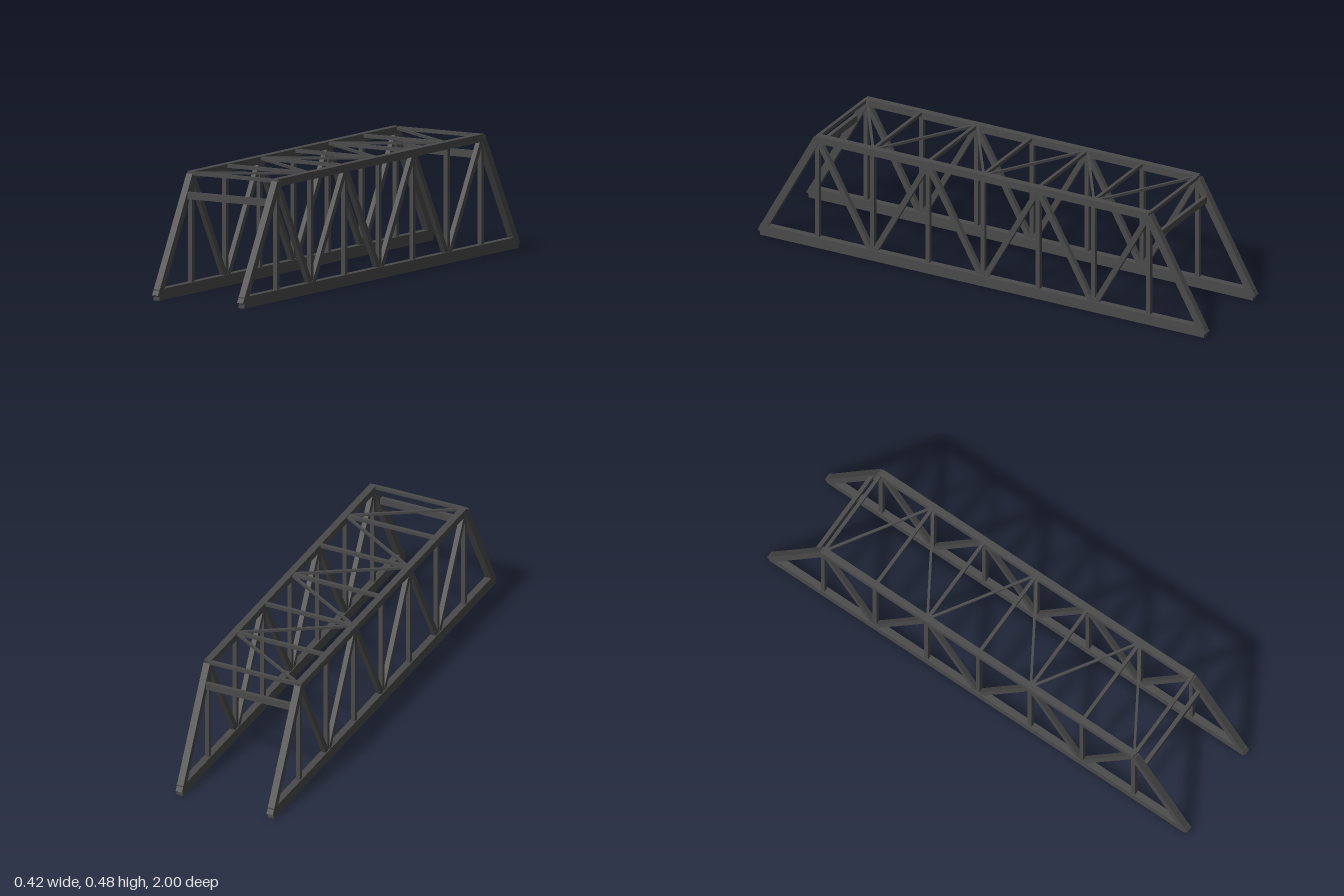
import * as THREE from 'three';

export function createModel() {
  const model = new THREE.Group();
  model.name = 'trussBridge';
  const steel = new THREE.MeshStandardMaterial({ name: 'darkSteel', color: 0x4a4a4a });

  const bay = 0.246;      // panel length
  const sideX = 0.197;    // truss centre line
  const low = 0.022;      // bottom chord axis
  const high = 0.465;     // top chord axis

  // Square-cut bar between two points: width is sideways, depth is across the bar,
  // ext lengthens both ends.
  function bar(parent, name, a, b, width, depth, ext = 0) {
    const from = new THREE.Vector3(...a), to = new THREE.Vector3(...b);
    const mesh = new THREE.Mesh(
      new THREE.BoxGeometry(width, depth, from.distanceTo(to) + 2 * ext), steel);
    mesh.position.copy(from).add(to).multiplyScalar(0.5);
    mesh.lookAt(to);
    mesh.name = name;
    parent.add(mesh);
  }

  // Two mirrored side trusses
  for (const s of [1, -1]) {
    const truss = new THREE.Group();
    truss.name = s > 0 ? 'leftTruss' : 'rightTruss';
    model.add(truss);
    const x = s * sideX;

    bar(truss, 'bottomChord', [x, low, -0.99], [x, low, 0.99], 0.028, 0.044);
    bar(truss, 'topChord', [x, high, -0.742], [x, high, 0.742], 0.028, 0.03);

    for (const e of [1, -1]) {
      bar(truss, 'endPost', [x, 0.0135, e * 0.987], [x, high, e * 3 * bay], 0.028, 0.03);
    }
    for (let i = -3; i <= 3; i++) {
      const post = new THREE.Mesh(new THREE.BoxGeometry(0.018, high - low, 0.018), steel);
      post.position.set(x, (high + low) / 2, i * bay);
      post.name = 'vertical';
      truss.add(post);
    }
    // Zigzag web: odd nodes at the top, even nodes at the bottom
    for (let i = -3; i < 3; i++) {
      const y = (n) => (n % 2 ? high : low);
      bar(truss, 'diagonal', [x, y(i), i * bay], [x, y(i + 1), (i + 1) * bay], 0.02, 0.022);
    }
  }

  // Overhead bracing between the trusses
  const roof = new THREE.Group();
  roof.name = 'overheadBracing';
  model.add(roof);
  for (let i = -3; i <= 3; i++) {
    bar(roof, 'topStrut', [-sideX, 0.472, i * bay], [sideX, 0.472, i * bay], 0.014, 0.014);
  }
  for (let i = -3; i < 3; i++) {
    const x = (n) => (n % 2 ? -sideX : sideX);
    bar(roof, 'lateralBrace', [x(i), 0.472, i * bay], [x(i + 1), 0.472, (i + 1) * bay], 0.01, 0.01);
  }

  // Portal beams across the sloping end posts
  for (const e of [1, -1]) {
    bar(model, 'portalBeam', [-sideX, 0.39, e * 0.779], [sideX, 0.39, e * 0.779], 0.016, 0.028);
  }
  return model;
}
